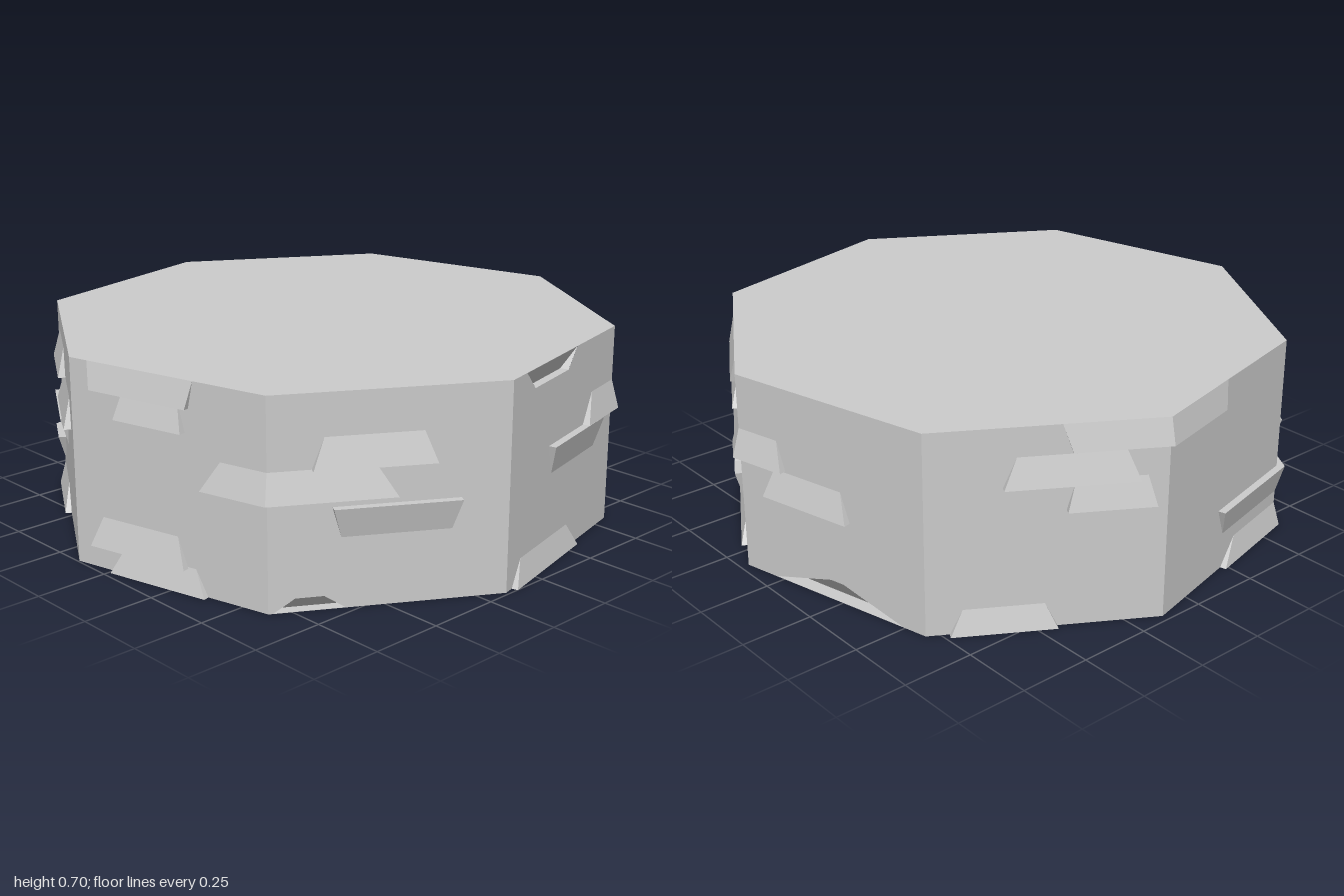
import * as THREE from 'three';

const H = 0.7, R = 0.994, CX = -0.012, CZ = 0.007, START = 8.8, SIDES = 8;
const angle = (u) => THREE.MathUtils.degToRad(START + u * 360 / SIDES);

// Point on the eight-sided drum: u counts corners round the drum, d is the offset out of the wall
function at(u, y, d = 0) {
  const k = Math.floor(u + 1e-9), f = Math.max(0, u - k);
  const corner = (i, r) => new THREE.Vector3(CX + r * Math.cos(angle(i)), y, CZ + r * Math.sin(angle(i)));
  if (f < 1e-6) return corner(k, R + d / Math.cos(Math.PI / SIDES));
  const p = corner(k, R).lerp(corner(k + 1, R), f);
  const a = angle(k + 0.5);
  return p.add(new THREE.Vector3(Math.cos(a) * d, 0, Math.sin(a) * d));
}

// A sloped flake from u = from..to, proud (or sunk) by db at its bottom and dt at its top.
// Each end of the top edge moves inwards by inset times the width.
function flake(name, from, to, yb, yt, db, dt, inset = 0.1) {
  const step = inset * (to - from);
  return { name, b0: from, b1: to, t0: from + step, t1: to - step, yb, yt, db, dt };
}
const lip = (from, to, y) => flake('wallChip', from, to, y, y + 0.1, 0.025, 0);
const overhang = (from, to, y) => flake('wallChip', from, to, y, y + 0.1, 0, 0.026, -0.08);
const foot = (from, to) => flake('bottomChip', from, to, 0, 0.085, 0.022, 0, 0.12);
const crown = (from, to) => flake('topChip', from, to, 0.61, H, 0.02, 0, -0.05);

const dents = [
  flake('topDent', 1.48, 1.80, 0.635, H, -0.03, 0, -0.25),
  flake('bottomNotch', 7.12, 7.83, 0, 0.07, -0.05, 0, 0.45),
  flake('bottomNotch', 2.68, 2.98, 0, 0.045, -0.04, 0, 0.3),
];
const lips = [
  [0.50, 1.30, 0.41], [0.25, 0.82, 0.30], [7.74, 8.17, 0.41], [7.39, 7.85, 0.305],
  [6.12, 6.68, 0.50], [6.05, 6.42, 0.41], [4.50, 4.90, 0.52], [4.15, 4.65, 0.42],
  [2.31, 2.82, 0.46], [2.47, 3.31, 0.36], [3.40, 3.75, 0.53], [3.40, 3.90, 0.08],
];
const overhangs = [
  [1.18, 1.61, 0.31], [0.18, 0.56, 0.19], [0.40, 0.78, 0.09],
  [4.85, 5.50, 0.13], [4.50, 4.90, 0.28], [2.24, 2.70, 0.235],
];
const feet = [[1.36, 1.95], [0.18, 0.82], [6.45, 6.90], [4.58, 5.50], [3.30, 3.80]].map((c) => foot(...c));
const crowns = [[0.20, 0.68], [5.58, 6.40], [3.38, 3.88]];
const chips = [
  ...dents, ...feet,
  ...lips.map((c) => lip(...c)),
  ...overhangs.map((c) => overhang(...c)),
  ...crowns.map((c) => crown(...c)),
];

function fromTriangles(points) {
  const g = new THREE.BufferGeometry().setFromPoints(points);
  g.computeVertexNormals();
  return g;
}
const quad = (a, b, c, d) => [a, b, c, a, c, d];

// Flake or dent, bent round a drum corner where it crosses one
function chipGeometry(c) {
  const cols = [[c.b0, c.t0]];
  for (let k = Math.ceil(c.b0); k < c.b1; k++) cols.push([k, k]);
  cols.push([c.b1, c.t1]);
  const root = c.db + c.dt < 0 ? 0 : -0.005;
  const row = (i, y, d) => cols.map((q) => at(q[i], y, d));
  const bottom = row(0, c.yb, c.db), top = row(1, c.yt, c.dt);
  const tris = [];
  for (let i = 0; i + 1 < cols.length; i++) {
    tris.push(...quad(bottom[i + 1], bottom[i], top[i], top[i + 1]));
  }
  // Rim from the sloped face back to the wall
  const rim = [...bottom.reverse(), ...top];
  const base = [...row(0, c.yb, root).reverse(), ...row(1, c.yt, root)];
  rim.forEach((p, i) => {
    const j = (i + 1) % rim.length;
    tris.push(...quad(p, base[i], base[j], rim[j]));
  });
  return fromTriangles(tris);
}

// Flat wall panel with openings where the dents are
function wallGeometry(k) {
  const e = 0.001;
  const outline = [[-1, 0], [0, 0], [0, H], [-1, H]];
  const shape = new THREE.Shape(outline.map(([x, y]) => new THREE.Vector2(x, y)));
  for (const c of dents) {
    if (Math.floor(c.b0) !== k) continue;
    const yb = Math.max(c.yb, e), yt = Math.min(c.yt, H - e);
    const hole = [[c.b0, yb], [c.b1, yb], [c.t1, yt], [c.t0, yt]];
    shape.holes.push(new THREE.Path(hole.map(([u, y]) => new THREE.Vector2(k - u, y))));
  }
  const g = new THREE.ShapeGeometry(shape);
  const pos = g.attributes.position;
  for (let i = 0; i < pos.count; i++) {
    const p = at(k - pos.getX(i), pos.getY(i));
    pos.setXYZ(i, p.x, p.y, p.z);
  }
  g.computeVertexNormals();
  return g;
}

// Cap as a fan; the lower one follows the chips along the bottom edge
function capGeometry(y, up) {
  const edge = [];
  const cuts = up ? [] : chips.filter((c) => c.yb === 0);
  for (let k = 0; k < SIDES; k++) {
    const cover = cuts.find((c) => c.b0 < k && c.b1 > k);
    edge.push([k, cover ? cover.db : 0]);
  }
  for (const c of cuts) edge.push([c.b0, 0], [c.b0, c.db], [c.b1, c.db], [c.b1, 0]);
  edge.sort((a, b) => a[0] - b[0]);
  const ring = edge.map(([u, d]) => at(u, y, d));
  const centre = new THREE.Vector3(CX, y, CZ);
  const tris = [];
  ring.forEach((p, i) => {
    const q = ring[(i + 1) % ring.length];
    tris.push(centre, ...(up ? [q, p] : [p, q]));
  });
  return fromTriangles(tris);
}

export function createModel() {
  const group = new THREE.Group();
  group.name = 'stoneDrum';
  const stone = new THREE.MeshStandardMaterial({ color: 0xcccccc, flatShading: true });
  const thin = new THREE.MeshStandardMaterial({ color: 0xcccccc, flatShading: true, side: THREE.DoubleSide });
  const add = (name, geometry, material) => {
    const mesh = new THREE.Mesh(geometry, material);
    mesh.name = name;
    group.add(mesh);
  };
  for (let k = 0; k < SIDES; k++) add('wallPanel', wallGeometry(k), stone);
  add('topFace', capGeometry(H, true), stone);
  add('bottomFace', capGeometry(0, false), stone);
  for (const c of chips) add(c.name, chipGeometry(c), thin);
  return group;
}
